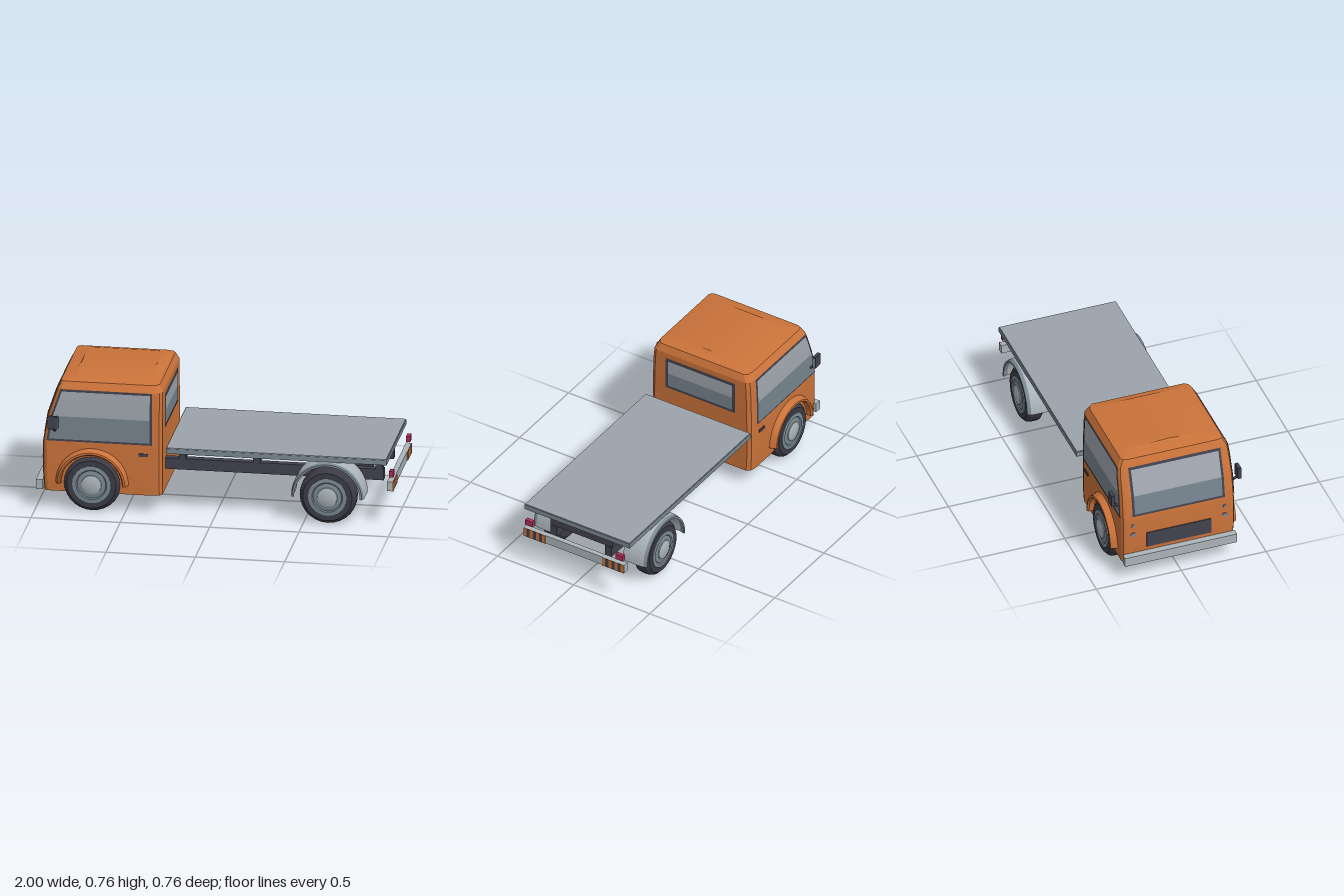
import * as THREE from 'three';
import { toCreasedNormals } from 'three/addons/utils/BufferGeometryUtils.js';

const paint = (name, color, double) => {
  const m = new THREE.MeshStandardMaterial({ color });
  m.name = name;
  if (double) m.side = THREE.DoubleSide;
  return m;
};

// Cab levels: height, front x, rear x, half width
const LEVELS = [
  [0.105, -0.957, -0.296, 0.328], [0.2, -0.963, -0.296, 0.333], [0.39, -0.963, -0.296, 0.333],
  [0.537, -0.94, -0.296, 0.331], [0.65, -0.902, -0.296, 0.327], [0.7, -0.885, -0.297, 0.322],
  [0.74, -0.867, -0.315, 0.3], [0.757, -0.8, -0.365, 0.235], [0.765, -0.79, -0.375, 0],
];
const FRONT = 1, REAR = 2, HALF = 3;

// Interpolated cab measurement at a height
function cabAt(y, k) {
  let i = 0;
  while (i < LEVELS.length - 2 && LEVELS[i + 1][0] < y) i++;
  const a = LEVELS[i], b = LEVELS[i + 1];
  return a[k] + (b[k] - a[k]) * (y - a[0]) / (b[0] - a[0]);
}

// Cab shell lofted from rounded rectangles
function cabGeometry() {
  const pos = [], idx = [], n = 12;
  for (const [y, xf, xr, h] of LEVELS) {
    const f = 0.025, r = 0.05, c = Math.min(0.03, h);
    const half = [[xr, h - c], [xr - 0.3 * r, h - 0.3 * c], [xr - r, h],
      [xf + f, h], [xf + 0.3 * f, h - 0.3 * c], [xf, h - c]];
    for (const [x, z] of half) pos.push(x, y, -z);
    for (const [x, z] of half.reverse()) pos.push(x, y, z);
  }
  for (let j = 0; j < LEVELS.length - 1; j++) {
    for (let i = 0; i < n; i++) {
      const a = j * n + i, b = j * n + (i + 1) % n;
      idx.push(a, b, b + n, a, b + n, a + n);
    }
  }
  for (let i = 1; i < n - 1; i++) idx.push(0, i + 1, i);
  const g = new THREE.BufferGeometry();
  g.setAttribute('position', new THREE.Float32BufferAttribute(pos, 3));
  g.setIndex(idx);
  return toCreasedNormals(g, 0.35);
}

// Thin strip that follows the cab surface between two heights
function stripGeometry(y0, y1, bounds, place) {
  const ys = [y0, ...LEVELS.map(l => l[0]).filter(y => y > y0 && y < y1), y1];
  const pos = [], idx = [];
  ys.forEach((y, i) => {
    for (const a of bounds(y)) pos.push(...place(a, y));
    if (i) idx.push(2 * i - 2, 2 * i - 1, 2 * i + 1, 2 * i - 2, 2 * i + 1, 2 * i);
  });
  const g = new THREE.BufferGeometry();
  g.setAttribute('position', new THREE.Float32BufferAttribute(pos, 3));
  g.setIndex(idx);
  return toCreasedNormals(g, 0.2);
}

// Profile of [radius, z] turned about the z axis
function turned(profile, segments = 28, start = 0, length = Math.PI * 2) {
  const pts = profile.map(p => new THREE.Vector2(p[0], p[1]));
  const g = new THREE.LatheGeometry(pts, segments, start, length);
  return toCreasedNormals(g.rotateX(Math.PI / 2), 0.5);
}

export function createModel() {
  const orange = paint('orange paint', 0xcb733a, true);
  const slate = paint('slate metal', 0x7b8993, true);
  const silver = paint('silver metal', 0xabb5ba, true);
  const deckGrey = paint('deck grey', 0x9ca3ab);
  const dark = paint('dark trim', 0x42424f, true);
  const tyreBlack = paint('tyre black', 0x3c3b47);
  const glassDark = paint('lower glass', 0x76848e, true);
  const glassLight = paint('upper glass', 0xa0a6ae, true);
  const red = paint('red lamp', 0xb02c58);

  const truck = new THREE.Group();
  truck.name = 'flatbedTruck';
  const add = (name, geo, mat, x = 0, y = 0, z = 0, parent = truck) => {
    const m = new THREE.Mesh(geo, mat);
    m.name = name;
    m.position.set(x, y, z);
    parent.add(m);
    return m;
  };
  // Box given by its limits
  const box = (name, mat, x0, x1, y0, y1, z0, z1) => add(name,
    new THREE.BoxGeometry(x1 - x0, y1 - y0, z1 - z0), mat, (x0 + x1) / 2, (y0 + y1) / 2, (z0 + z1) / 2);

  // Cab
  add('cab', cabGeometry(), orange);

  // Windows: dark frame, then lower and upper glass
  const windowSet = (name, y0, y1, split, rim, bounds, place) => {
    const inner = y => { const [a, b] = bounds(y); return [a + rim, b - rim]; };
    add(name + 'Frame', stripGeometry(y0, y1, bounds, place(0.003)), dark);
    add(name + 'LowerGlass', stripGeometry(y0 + rim, split, inner, place(0.006)), glassDark);
    add(name + 'UpperGlass', stripGeometry(split, y1 - rim, inner, place(0.006)), glassLight);
  };
  windowSet('windshield', 0.41, 0.698, 0.537, 0.014, () => [-0.272, 0.272],
    o => (a, y) => [cabAt(y, FRONT) - o, y, a]);
  windowSet('rearWindow', 0.472, 0.67, 0.572, 0.017, () => [-0.228, 0.228],
    o => (a, y) => [cabAt(y, REAR) + o, y, a]);
  for (const s of [1, -1]) {
    windowSet(s > 0 ? 'leftWindow' : 'rightWindow', 0.4, 0.7, 0.545, 0.012,
      y => [cabAt(y, FRONT) + 0.022, -0.35], o => (a, y) => [a, y, s * (cabAt(y, HALF) + o)]);
  }

  // Front details
  box('grille', dark, -0.968, -0.96, 0.19, 0.285, -0.19, 0.19);
  box('frontBumper', silver, -1, -0.962, 0.11, 0.165, -0.33, 0.33);

  // Chassis cross members, deck and rear bumper
  for (const x of [-0.2, 0.215, 0.9]) {
    box('crossMember', dark, x - 0.02, x + 0.02, 0.285, 0.325, -0.205, 0.205);
    for (const s of [1, -1]) box('deckPost', slate, x - 0.02, x + 0.02, 0.325, 0.365, s * 0.18 - 0.021, s * 0.18 + 0.021);
  }
  box('deck', slate, -0.27, 0.965, 0.362, 0.391, -0.345, 0.345);
  box('deckTop', deckGrey, -0.267, 0.962, 0.391, 0.395, -0.342, 0.342);
  box('rearBumper', silver, 0.965, 0.995, 0.207, 0.26, -0.33, 0.33);

  // Wheel and fender shapes
  const tyre = turned([[0, 0.25], [0.135, 0.25], [0.158, 0.27], [0.16, 0.285], [0.16, 0.32],
    [0.156, 0.335], [0.138, 0.352], [0.1, 0.352]]);
  const rim = turned([[0.108, 0.34], [0.108, 0.356], [0.086, 0.358], [0.08, 0.352], [0.05, 0.358]]);
  const hub = turned([[0.058, 0.35], [0.055, 0.362], [0.04, 0.368], [0, 0.369]]);
  const arc = profile => turned(profile, 20, Math.PI / 2, Math.PI);
  const flare = arc([[0.172, 0.32], [0.172, 0.362], [0.18, 0.372], [0.19, 0.37], [0.205, 0.33]]);
  const fender = arc([[0.192, 0.345], [0.192, 0.22], [0.205, 0.22], [0.205, 0.335], [0.202, 0.352]]);
  const fenderRim = arc([[0.202, 0.352], [0.196, 0.372], [0.184, 0.372], [0.192, 0.345]]);

  for (const s of [1, -1]) {
    const zBox = (name, mat, x0, x1, y0, y1, a, b) =>
      box(name, mat, x0, x1, y0, y1, Math.min(s * a, s * b), Math.max(s * a, s * b));
    // Each axle end, turned around for the far side
    for (const x of [-0.685, 0.635]) {
      const end = new THREE.Group();
      end.name = x < 0 ? 'frontWheel' : 'rearWheel';
      end.position.set(x, 0.16, 0);
      if (s < 0) end.rotation.y = Math.PI;
      add('tyre', tyre, tyreBlack, 0, 0, 0, end);
      add('rim', rim, slate, 0, 0, 0, end);
      add('hub', hub, silver, 0, 0, 0, end);
      if (x < 0) add('wheelArch', flare, orange, 0, 0, 0, end);
      else {
        add('fender', fender, silver, 0, 0, 0, end);
        add('fenderRim', fenderRim, slate, 0, 0, 0, end);
      }
      truck.add(end);
    }
    zBox('chassisRail', dark, -0.3, 0.925, 0.222, 0.286, 0.158, 0.2);
    zBox('tailLamp', red, 0.975, 0.998, 0.284, 0.318, 0.272, 0.32);
    zBox('doorHandle', dark, -0.425, -0.372, 0.333, 0.35, 0.328, 0.338);

    // Warning stripes on the rear bumper
    for (let i = 0; i < 7; i++) {
      const z = 0.187 + i * 0.0204;
      zBox('warningStripe', i % 2 ? dark : orange, 0.994, 1, 0.207, 0.26, z, z + 0.0204);
    }

    // Mirror on a short arm
    zBox('mirror', dark, -0.925, -0.873, 0.482, 0.555, 0.363, 0.382);
    zBox('mirrorGlass', slate, -0.874, -0.869, 0.486, 0.551, 0.364, 0.381);
    const arm = new THREE.LineCurve3(new THREE.Vector3(-0.89, 0.455, s * 0.325), new THREE.Vector3(-0.9, 0.485, s * 0.372));
    add('mirrorArm', new THREE.TubeGeometry(arm, 1, 0.008, 6), dark);

    // Small front lamps
    for (const [y, r] of [[0.29, 0.014], [0.35, 0.01]]) {
      const lamp = new THREE.CylinderGeometry(r, r, 0.008, 12).rotateZ(Math.PI / 2);
      add('frontLamp', lamp, slate, -0.965, y, s * 0.27);
    }
  }

  // Rear axle
  add('rearAxle', new THREE.CylinderGeometry(0.02, 0.02, 0.52, 10).rotateX(Math.PI / 2), dark, 0.635, 0.16, 0);
  return truck;
}
